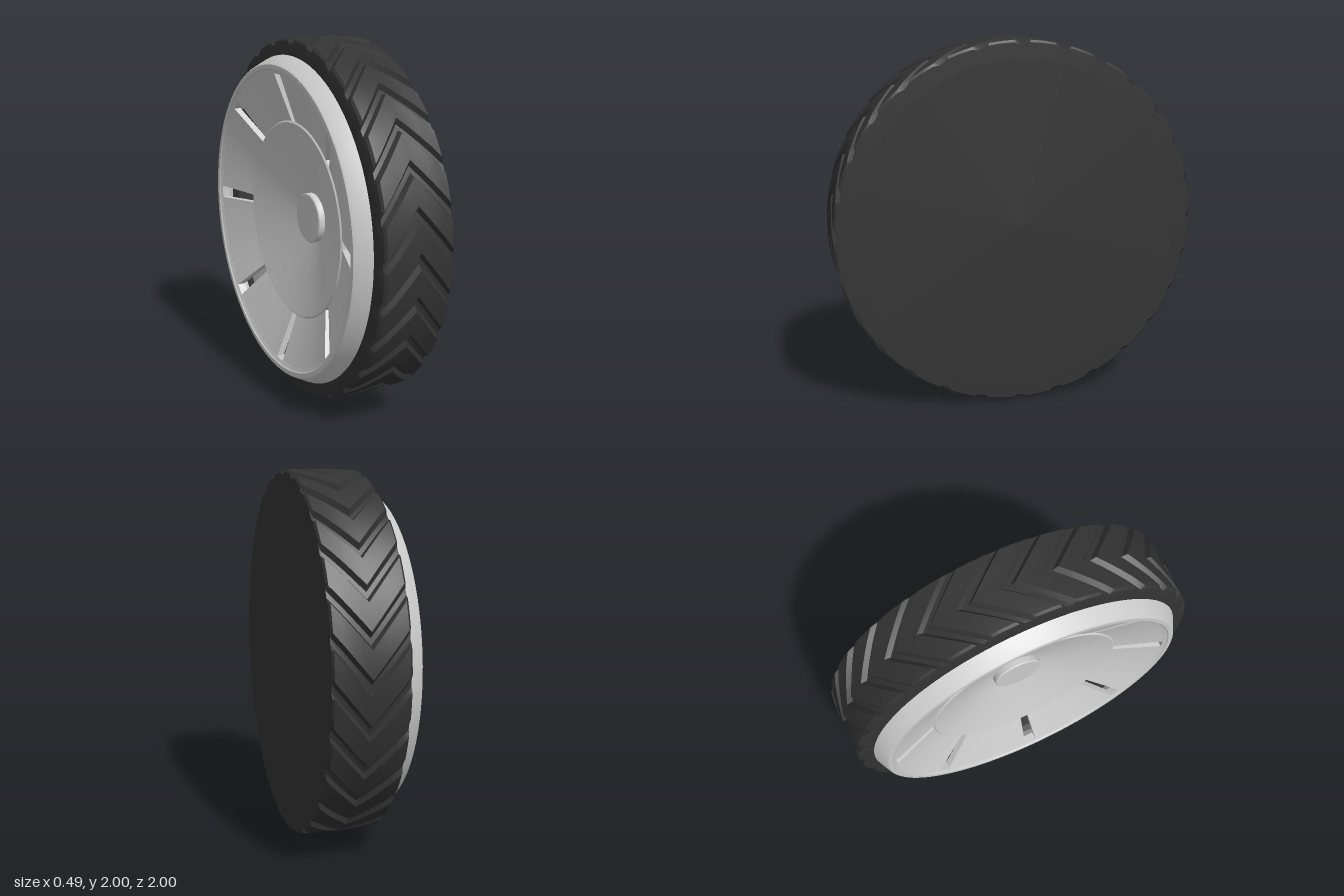
import * as THREE from 'three';
import { toCreasedNormals } from 'three/addons/utils/BufferGeometryUtils.js';

const rubber = new THREE.MeshStandardMaterial({ color: 0x333333 });
const metal = new THREE.MeshStandardMaterial({ color: 0xcccccc });

// Surface from rows of points; point(i, j) returns [radius, x, angle] about the x axis.
function sweep(rows, cols, point, capEnds) {
  const pos = [], index = [];
  for (let i = 0; i < rows; i++) {
    for (let j = 0; j < cols; j++) {
      const [r, x, a] = point(i, j);
      pos.push(x, r * Math.sin(a), r * Math.cos(a));
    }
  }
  for (let i = 0; i < rows - 1; i++) {
    for (let j = 0; j < cols - 1; j++) {
      const a = i * cols + j, b = a + cols;
      index.push(a, b, b + 1, a, b + 1, a + 1);
    }
  }
  if (capEnds) {
    const e = (rows - 1) * cols;
    index.push(0, 1, 2, 0, 2, 3, e, e + 2, e + 1, e, e + 3, e + 2);
  }
  const g = new THREE.BufferGeometry();
  g.setAttribute('position', new THREE.Float32BufferAttribute(pos, 3));
  g.setIndex(index);
  return toCreasedNormals(g, 0.5);
}

// Turned part around the axle: profile of [radius, distance towards -x].
function turned(profile) {
  const g = new THREE.LatheGeometry(profile.map(p => new THREE.Vector2(...p)), 96);
  g.rotateZ(Math.PI / 2);
  return toCreasedNormals(g, 0.4);
}

function part(name, geometry, material) {
  const mesh = new THREE.Mesh(geometry, material);
  mesh.name = name;
  return mesh;
}

// Tyre with a closed flat side and chevron lugs
function tyreGeometry() {
  const chevrons = 28, middle = 0.05, slope = 1.22, depth = 0.025;
  // [radius, x, groove share]
  const section = [[0, 0.245, 0], [0.9, 0.245, 0], [0.985, 0.245, 0.5]];
  for (let k = 0; k <= 8; k++) {
    const edge = k === 0 || k === 8;
    section.push([edge ? 0.997 : 1, 0.235 - k * 0.37 / 8, 1]);
  }
  section.push([0.985, -0.147, 0.6], [0.91, -0.16, 0], [0.85, -0.15, 0],
    [0.82, -0.12, 0], [0.82, 0.18, 0], [0, 0.18, 0]);

  // One lug: floor, bevel up, top, bevel down
  const lug = [[0, 1], [0.16, 1], [0.26, 0], [0.56, 0], [0.88, 0]];
  const rows = chevrons * lug.length + 1;
  return sweep(rows, section.length, (i, j) => {
    const [f, groove] = lug[i % lug.length];
    const [r, x, share] = section[j];
    const a = (Math.floor(i / lug.length) + f) / chevrons * Math.PI * 2;
    return [r - depth * groove * share, x, a - slope * Math.abs(x - middle)];
  });
}

// One sloping panel of the dish, between two neighbouring slots
function panelGeometry(count) {
  const loop = [[0.835, -0.237], [0.54, -0.128], [0.54, -0.088], [0.835, -0.197], [0.835, -0.237]];
  const steps = 12;
  return sweep(steps + 1, loop.length, (i, j) => {
    const [r, x] = loop[j];
    const slotWidth = 0.045 + (r - 0.54) * 0.1;
    const half = Math.PI / count - Math.asin(slotWidth / 2 / r);
    return [r, x, half * (2 * i / steps - 1)];
  }, true);
}

export function createModel() {
  const wheel = new THREE.Group();
  wheel.name = 'wheel';
  wheel.position.y = 1;
  wheel.add(part('tyre', tyreGeometry(), rubber));

  // Rim lip
  wheel.add(part('rimLip', turned([
    [0.9, 0.14], [0.912, 0.155], [0.87, 0.238], [0.862, 0.245], [0.838, 0.245],
    [0.832, 0.238], [0.815, 0.23], [0.815, 0.185], [0.85, 0.15], [0.9, 0.14],
  ]), metal));

  // Dish panels with open slots between them
  const dish = new THREE.Group();
  dish.name = 'dish';
  const count = 8, panel = panelGeometry(count);
  for (let k = 0; k < count; k++) {
    const mesh = part('dishPanel', panel, metal);
    mesh.rotation.x = (k + 0.5) / count * Math.PI * 2;
    dish.add(mesh);
  }
  wheel.add(dish);

  // Hollowed hub plate and axle cap
  wheel.add(part('hubPlate', turned([
    [0, -0.03], [0.54, 0.08], [0.555, 0.09], [0.555, 0.132], [0.545, 0.14], [0.53, 0.136], [0.14, 0.012], [0, 0.0],
  ]), metal));
  wheel.add(part('axleCap', turned([
    [0.14, 0], [0.14, 0.044], [0.134, 0.05], [0, 0.05],
  ]), metal));

  const model = new THREE.Group();
  model.name = 'model';
  model.add(wheel);
  return model;
}
